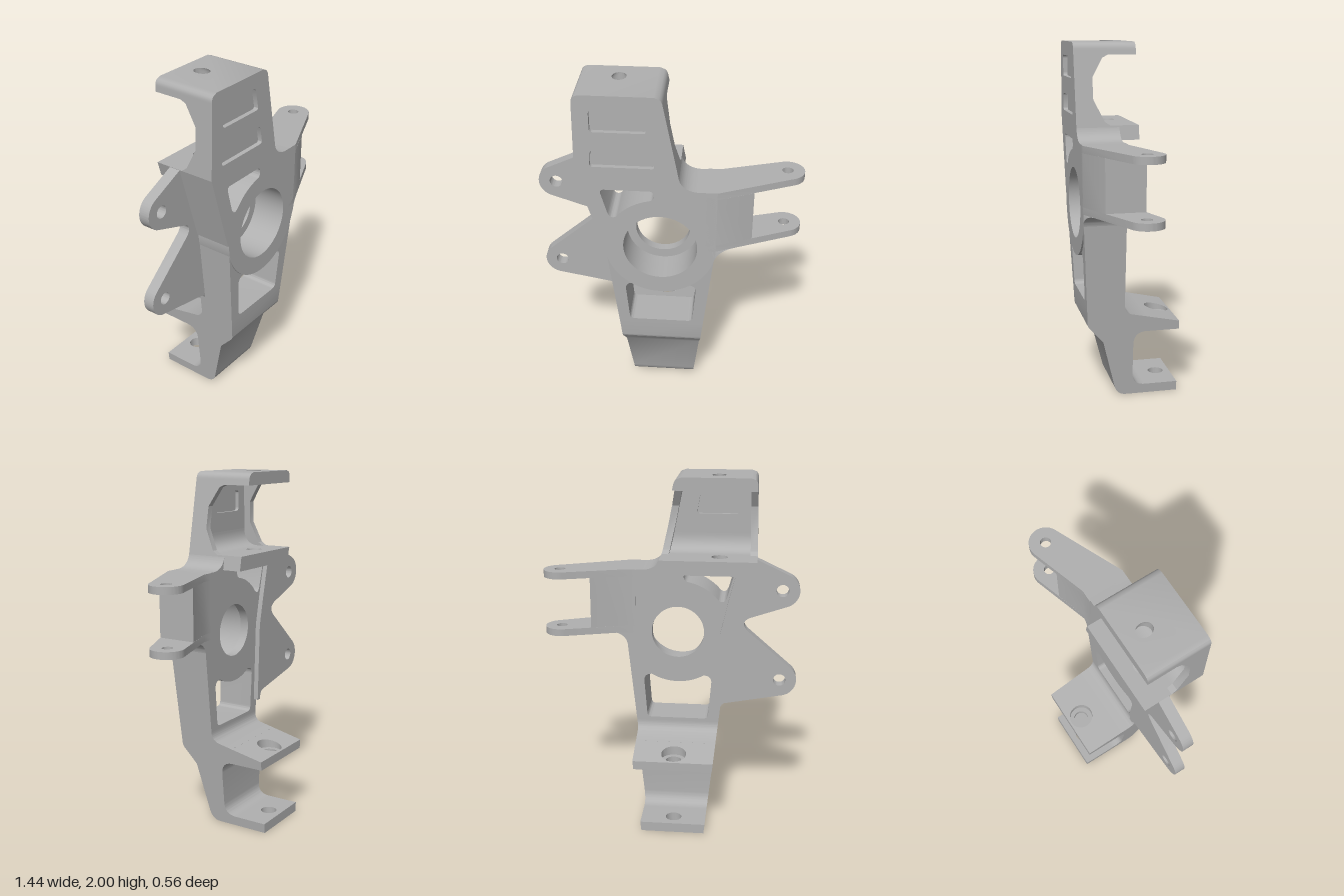
import * as THREE from 'three';
import { toCreasedNormals } from 'three/addons/utils/BufferGeometryUtils.js';

const RAD = Math.PI / 180;
const HUB = { x: -0.04, y: 1.11 };

// Edge rules of the tapered body and of the upper bracket
const half = y => 0.18 + 0.107 * y;
const leftX = y => (y < 1.55 ? -0.48 + 0.3 * (1.55 - y) : -0.48 + 0.02 * (y - 1.55));
const rightX = y => 0.06 - 0.195 * (y - 1.54);

// Polygon with softened corners
function poly(pts, r = 0, Type = THREE.Shape) {
  const s = new Type();
  const v = pts.map(p => new THREE.Vector2(p[0], p[1]));
  v.forEach((p, i) => {
    const a = v[(i + v.length - 1) % v.length], b = v[(i + 1) % v.length];
    const p0 = p.clone().add(a.clone().sub(p).setLength(r || 1e-6));
    const p1 = p.clone().add(b.clone().sub(p).setLength(r || 1e-6));
    if (!r) { i ? s.lineTo(p.x, p.y) : s.moveTo(p.x, p.y); return; }
    i ? s.lineTo(p0.x, p0.y) : s.moveTo(p0.x, p0.y);
    s.quadraticCurveTo(p.x, p.y, p1.x, p1.y);
  });
  s.closePath();
  return s;
}
const circle = (x, y, r) => new THREE.Path().absarc(x, y, r, 0, Math.PI * 2, true);

function extrude(shape, depth, steps = 1) {
  return new THREE.ExtrudeGeometry(shape, { depth, steps, bevelEnabled: false, curveSegments: 20 });
}
// Shapes drawn in (x, y), (x, -z) and (-z, y)
const front = (s, z0, z1) => extrude(s, z1 - z0).translate(0, 0, z0);
const plan = (s, y0, y1, steps) => extrude(s, y1 - y0, steps).rotateX(-Math.PI / 2).translate(0, y0, 0);
const side = (s, x0, x1) => extrude(s, x1 - x0).rotateY(Math.PI / 2).translate(x0, 0, 0);

function warp(geo, rule) {
  const p = geo.attributes.position, v = new THREE.Vector3();
  for (let i = 0; i < p.count; i++) {
    rule(v.fromBufferAttribute(p, i));
    p.setXYZ(i, v.x, v.y, v.z);
  }
  return geo;
}

export function createModel() {
  const root = new THREE.Group();
  root.name = 'wheelUpright';
  const metal = new THREE.MeshStandardMaterial({ color: 0xb0b0b0 });
  metal.name = 'machined grey metal';
  const add = (name, geo) => {
    const m = new THREE.Mesh(toCreasedNormals(geo, 0.5), metal);
    m.name = name;
    root.add(m);
  };

  // Hub ring with a stepped bore
  const ring = [[0.15, 0.04], [0.3, 0.04], [0.3, 0.28], [0.2, 0.28], [0.2, 0.09], [0.15, 0.09], [0.15, 0.04]];
  add('hubRing', new THREE.LatheGeometry(ring.map(p => new THREE.Vector2(...p)), 64)
    .rotateX(Math.PI / 2).translate(HUB.x, HUB.y, 0));

  // Lower body plate with its window, front face leaning back
  const lower = new THREE.Shape();
  lower.moveTo(-0.04 - half(1.11), 1.11);
  lower.lineTo(-0.04 - half(0.56), 0.56);
  lower.lineTo(-0.04 + half(0.56), 0.56);
  lower.lineTo(-0.04 + half(1.11), 1.11);
  lower.lineTo(0.21, 1.11);
  lower.absarc(HUB.x, HUB.y, 0.25, 0, -Math.PI, true);
  const win = new THREE.Path();
  win.moveTo(-0.19, 0.58);
  win.lineTo(0.11, 0.58);
  win.quadraticCurveTo(0.14, 0.58, 0.14, 0.61);
  win.lineTo(0.155, 0.8);
  win.quadraticCurveTo(0.16, 0.85, 0.11, 0.85);
  win.absarc(HUB.x, HUB.y, 0.3, -60 * RAD, -120 * RAD, true);
  win.quadraticCurveTo(-0.24, 0.85, -0.235, 0.8);
  win.lineTo(-0.22, 0.61);
  win.quadraticCurveTo(-0.22, 0.58, -0.19, 0.58);
  lower.holes.push(win);
  add('lowerBody', warp(front(lower, 0.04, 0.28), v => {
    if (v.z > 0.2) v.z -= 0.045 * (1.11 - v.y);
  }));

  // Upper body plate with its window and shoulder fillet
  const upper = new THREE.Shape();
  upper.moveTo(leftX(1.47), 1.47);
  upper.lineTo(leftX(1.11), 1.11);
  upper.lineTo(-0.29, 1.11);
  upper.absarc(HUB.x, HUB.y, 0.25, Math.PI, 0, true);
  upper.lineTo(0.26, 1.11);
  upper.lineTo(0.26, 1.47);
  upper.lineTo(0.16, 1.47);
  upper.quadraticCurveTo(0.08, 1.475, 0.06, 1.54);
  upper.lineTo(0.04, 1.47);
  const win2 = new THREE.Path();
  win2.moveTo(-0.33, 1.465);
  win2.lineTo(-0.09, 1.465);
  win2.quadraticCurveTo(-0.07, 1.46, -0.072, 1.43);
  win2.quadraticCurveTo(-0.075, 1.41, -0.097, 1.4045);
  win2.absarc(HUB.x, HUB.y, 0.3, 101 * RAD, 140 * RAD, false);
  win2.quadraticCurveTo(-0.3, 1.28, -0.317, 1.32);
  win2.lineTo(-0.35, 1.44);
  win2.quadraticCurveTo(-0.355, 1.465, -0.33, 1.465);
  upper.holes.push(win2);
  add('upperBody', front(upper, 0.04, 0.28));

  // Lower bracket: bent side profile, tapered in width
  const c = new THREE.Shape();
  c.moveTo(-0.04, 0.56);
  c.lineTo(-0.255, 0.56);
  c.lineTo(-0.25, 0.45);
  c.quadraticCurveTo(-0.248, 0.44, -0.24, 0.43);
  c.lineTo(-0.16, 0.34);
  c.lineTo(-0.09, 0.06);
  c.quadraticCurveTo(-0.075, 0, -0.02, 0);
  c.lineTo(0.09, 0);
  c.lineTo(0.09, 0.055);
  c.quadraticCurveTo(0.015, 0.055, 0.015, 0.13);
  c.lineTo(0.015, 0.31);
  c.quadraticCurveTo(0.015, 0.39, 0.09, 0.39);
  c.lineTo(0.09, 0.481);
  c.lineTo(0, 0.5);
  c.quadraticCurveTo(-0.04, 0.515, -0.04, 0.56);
  add('lowerBracket', warp(side(c, -1, 1), v => { v.x = -0.04 + v.x * half(v.y); }));

  // Drilled arms of the lower bracket
  const arm = (name, y0, y1, r, rule) => {
    const w = half((y0 + y1) / 2);
    const s = poly([[-0.04 - w, 0.09], [-0.04 + w, 0.09], [-0.04 + w, 0.28], [-0.04 - w, 0.28]]);
    s.holes.push(circle(-0.04, 0.2, r));
    add(name, warp(plan(s, y0, y1), v => {
      if (rule && v.y > y1 - 0.001) v.y = rule(v.z);
      v.x = -0.04 + (v.x + 0.04) * half(v.y) / w;
    }));
  };
  arm('bottomArm', 0, 0.055, 0.045);
  arm('middleArm', 0.39, 0.42, 0.043);
  arm('middleArmCounterbore', 0.42, 0.45, 0.07, z => 0.44 + 0.214 * (z + 0.28));

  // Upper bracket: drilled top plate and shelf
  const slab = (name, y0, y1, round) => {
    const s = poly([[0, -0.28], [1, -0.28], [1, 0.07], [0, 0.07]]);
    const ym = (y0 + y1) / 2, l = leftX(ym), w = rightX(ym) - l;
    s.holes.push(new THREE.Path().absellipse((-0.26 - l) / w, -0.05, 0.045 / w, 0.045, 0, Math.PI * 2, true, 0));
    add(name, warp(plan(s, y0, y1, 8), v => {
      const d = Math.max(0, v.y - (2 - round));
      const inset = round ? round - Math.sqrt(Math.max(0, round * round - d * d)) : 0;
      v.x = THREE.MathUtils.lerp(leftX(v.y) + inset, rightX(v.y) - inset, v.x);
    }));
  };
  slab('topPlate', 1.93, 2, 0.035);
  slab('shelf', 1.47, 1.55, 0);

  // Upper bracket wall with shallow pockets on both faces
  const wall = (name, z0, z1, pockets) => {
    const s = poly([[leftX(1.55), 1.55], [rightX(1.55), 1.55], [rightX(1.93), 1.93], [leftX(1.93), 1.93]]);
    pockets.forEach(p => s.holes.push(poly(p, 0.02, THREE.Path)));
    add(name, front(s, z0, z1));
  };
  wall('wallFront', 0.255, 0.28, [
    [[-0.39, 1.8], [-0.1, 1.8], [-0.125, 1.92], [-0.39, 1.92]],
    [[-0.4, 1.6], [-0.06, 1.6], [-0.08, 1.7], [-0.39, 1.7]]]);
  wall('wallWeb', 0.24, 0.255, []);
  wall('wallBack', 0.22, 0.24, [[[-0.37, 1.76], [-0.13, 1.76], [-0.15, 1.88], [-0.37, 1.88]]]);

  // Side ribs and the fillet inside the upper bracket
  const rib = poly([[-0.28, 1.55], [-0.09, 1.55], [-0.12, 1.57], [-0.18, 1.69], [-0.18, 1.81],
    [-0.12, 1.915], [-0.09, 1.93], [-0.28, 1.93]]);
  add('rightRib', warp(side(rib, 0, 0.04), v => { v.x += leftX(v.y); }));
  add('leftRib', warp(side(rib, -0.04, 0), v => { v.x += rightX(v.y); }));
  const fillet = new THREE.Shape();
  fillet.moveTo(-0.24, 1.55);
  fillet.lineTo(-0.12, 1.55);
  fillet.quadraticCurveTo(-0.22, 1.55, -0.22, 1.65);
  fillet.lineTo(-0.24, 1.65);
  add('shelfFillet', warp(side(fillet, 0, 1), v => {
    v.x = THREE.MathUtils.lerp(leftX(v.y) + 0.02, rightX(v.y) - 0.02, v.x);
  }));

  // Forked arm: two drilled lugs and the block between them
  const lug = new THREE.Shape();
  lug.moveTo(0.2, -0.28);
  lug.lineTo(0.26, -0.28);
  lug.absarc(0.625, -0.02, 0.092, -68 * RAD, 109 * RAD, false);
  lug.lineTo(0.27, -0.035);
  lug.lineTo(0.2, -0.035);
  lug.holes.push(circle(0.625, -0.02, 0.03));
  add('upperLug', plan(lug, 1.43, 1.47));
  add('lowerLug', plan(lug, 1.1, 1.14));
  add('forkBlock', plan(poly([[0.2, -0.28], [0.26, -0.28], [0.45, -0.198], [0.45, 0.02],
    [0.27, -0.035], [0.2, -0.035]]), 1.14, 1.43));
  const gusset = new THREE.Shape();
  gusset.moveTo(0.24, 1.1);
  gusset.lineTo(0.25, 1.03);
  gusset.quadraticCurveTo(0.265, 1.1, 0.36, 1.1);
  add('forkGusset', warp(front(gusset, 0.04, 0.28), v => {
    if (v.z > 0.2) v.z -= 0.43 * Math.max(0, v.x - 0.26);
  }));

  // Side flange with two drilled ears
  const ear = new THREE.Shape();
  ear.moveTo(-0.26, 0.64);
  [[-0.28, 1.1], [-0.32, 1.28], [-0.365, 1.46], [-0.45, 1.5], [-0.475, 1.55]].forEach(p => ear.lineTo(...p));
  ear.absarc(-0.625, 1.375, 0.095, 118 * RAD, 250 * RAD, false);
  ear.lineTo(-0.45, 1.215);
  ear.quadraticCurveTo(-0.39, 1.19, -0.435, 1.14);
  ear.absarc(-0.625, 0.85, 0.095, 130 * RAD, 260 * RAD, false);
  ear.lineTo(-0.32, 0.695);
  ear.quadraticCurveTo(-0.29, 0.69, -0.285, 0.64);
  ear.holes.push(circle(-0.625, 1.375, 0.035), circle(-0.625, 0.85, 0.035));
  add('sideFlange', front(ear, 0.012, 0.075));

  return root;
}
